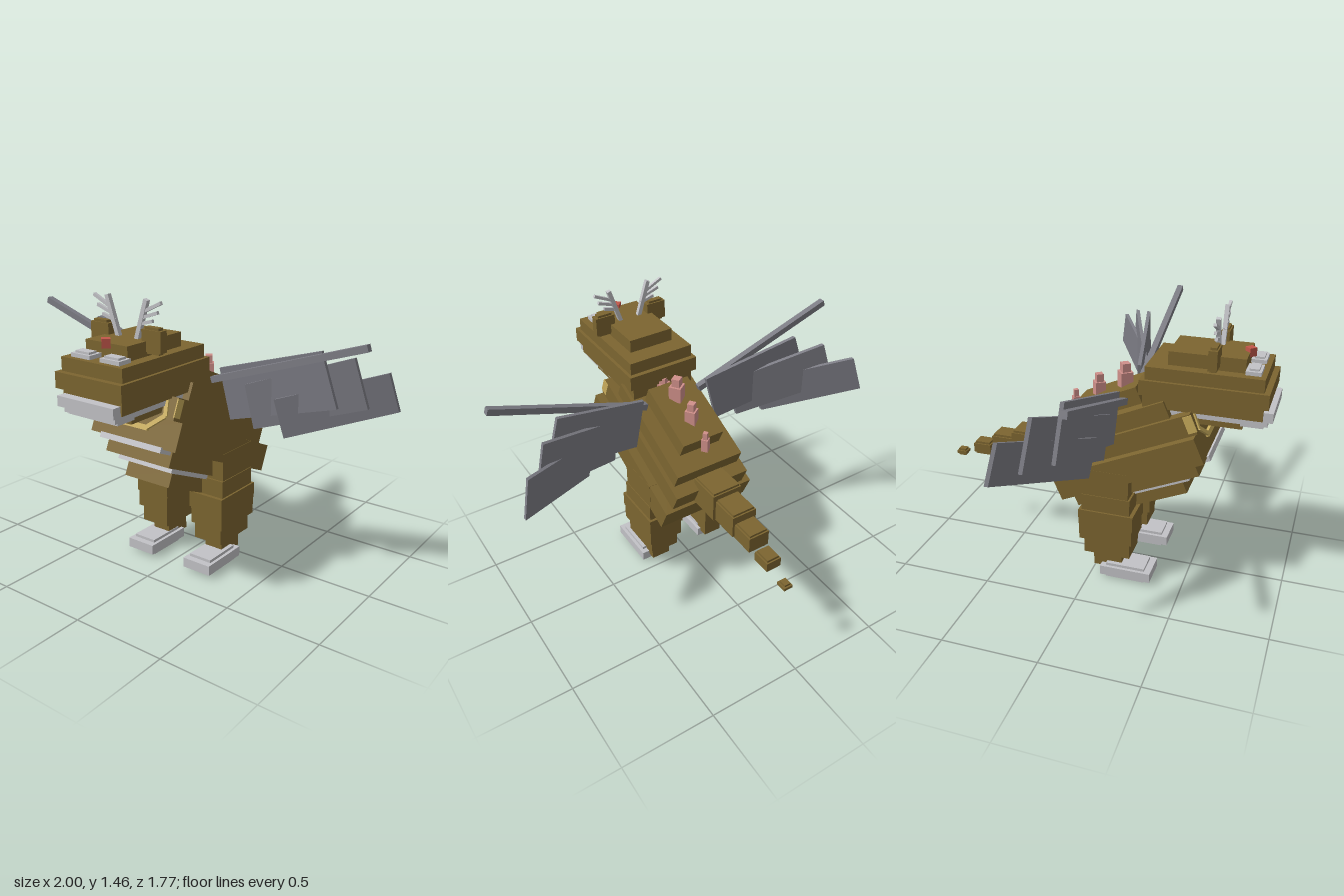
import * as THREE from 'three';

const mat = (name, color) => Object.assign(new THREE.MeshStandardMaterial({ color }), { name });

export function createModel() {
  const model = new THREE.Group();
  model.name = 'wingedCreature';
  const hide = mat('brown hide', 0x7c6530);
  const pale = mat('pale grey', 0xc2c2c6);
  const wingGrey = mat('wing grey', 0x7c7c84);
  const pink = mat('spike pink', 0xd0908a);
  const red = mat('nose red', 0xc2574a);
  const gold = mat('gold trim', 0xc9ad5c);

  const group = (name, parent = model) => {
    const g = new THREE.Group();
    g.name = name;
    parent.add(g);
    return g;
  };
  // Box given by its extents on each axis
  const box = (parent, name, m, [x0, x1], [y0, y1], [z0, z1]) => {
    const mesh = new THREE.Mesh(new THREE.BoxGeometry(x1 - x0, y1 - y0, z1 - z0), m);
    mesh.position.set((x0 + x1) / 2, (y0 + y1) / 2, (z0 + z1) / 2);
    mesh.name = name;
    parent.add(mesh);
    return mesh;
  };
  // Extents mirrored to side s
  const side = (s, a, b) => (s > 0 ? [a, b] : [-b, -a]);
  // Square bar between two points in a plane of constant z
  const bar = (parent, name, m, [xa, ya], [xb, yb], z, w, d = w) => {
    const mesh = new THREE.Mesh(new THREE.BoxGeometry(Math.hypot(xb - xa, yb - ya), w, d), m);
    mesh.position.set((xa + xb) / 2, (ya + yb) / 2, z);
    mesh.rotation.z = Math.atan2(yb - ya, xb - xa);
    mesh.name = name;
    parent.add(mesh);
  };

  // Body: stacked slabs, pitched so the chest is higher than the rump
  const body = group('body');
  body.rotation.x = -0.42;
  const slabs = [ // half width, bottom, top, back, front
    [0.14, 0.28, 0.36, 0.2, 0.66],
    [0.2, 0.38, 0.46, 0.08, 0.78],
    [0.265, 0.46, 0.6, 0.043, 0.85],
    [0.218, 0.6, 0.71, 0.06, 0.86],
    [0.195, 0.71, 0.8, 0.13, 0.75],
    [0.12, 0.8, 0.89, 0.24, 0.614],
  ];
  slabs.forEach(([w, b, t, k, f], i) => box(body, `bodySlab${i + 1}`, hide, [-w, w], [b, t], [k, f]));
  box(body, 'bellyPlate', pale, [-0.17, 0.17], [0.355, 0.382], [0.18, 0.71]);
  box(body, 'chestPlate', pale, [-0.19, 0.19], [0.44, 0.468], [0.4, 0.862]);

  // Gold collar on the chest
  const collar = group('collar', body);
  bar(collar, 'collarBar', gold, [-0.085, 0.54], [0.085, 0.54], 0.857, 0.026, 0.02);
  for (const s of [1, -1]) {
    bar(collar, 'collarDiagonal', gold, [s * 0.075, 0.54], [s * 0.17, 0.615], 0.862, 0.022, 0.012);
    bar(collar, 'collarStrap', gold, [s * 0.17, 0.61], [s * 0.155, 0.7], 0.862, 0.022, 0.012);
    box(collar, 'collarEnd', gold, side(s, 0.216, 0.222), [0.615, 0.705], [0.82, 0.866]);
  }

  // Back spikes: stacked pink blocks turned on edge
  const spikes = group('backSpikes');
  [[0.25, 0.97, 0.1, 0.06], [0.11, 1.01, 0.13, 0.065], [-0.03, 0.945, 0.12, 0.055], [-0.16, 0.85, 0.11, 0.035]]
    .forEach(([z, y, h, w]) => {
      const spike = group('spike', spikes);
      spike.position.set(0, y, z);
      spike.rotation.set(0, Math.PI / 5, 0);
      box(spike, 'spikeBase', pink, [-w / 2, w / 2], [0, h * 0.65], [-w / 2, w / 2]);
      box(spike, 'spikeTip', pink, [-w / 3, w / 3], [h * 0.6, h], [-w / 3, w / 3]);
    });

  // Tail: shrinking blocks, the last two floating free
  const tail = group('tail');
  [[0.085, 0.555, 0.73, -0.365, -0.19], [0.07, 0.55, 0.695, -0.515, -0.36], [0.058, 0.54, 0.65, -0.64, -0.515],
    [0.042, 0.505, 0.58, -0.765, -0.665], [0.025, 0.468, 0.508, -0.885, -0.828]]
    .forEach(([w, b, t, k, f], i) => {
      box(tail, `tailBlock${i + 1}`, hide, [-w + 0.008, w - 0.008], [b, t], [k + 0.008, f - 0.008]);
      box(tail, `tailCore${i + 1}`, hide, [-w, w], [b + 0.012, t - 0.012], [k, f]);
    });

  // Head: stacked layers
  const head = group('head');
  box(head, 'lowerJaw', hide, [-0.14, 0.14], [0.92, 0.965], [0.36, 0.74]);
  box(head, 'jawLining', pale, [-0.155, 0.155], [0.955, 0.992], [0.35, 0.86]);
  box(head, 'upperTeeth', pale, [-0.17, 0.17], [0.985, 1.035], [0.7, 0.885]);
  box(head, 'lowerTeeth', pale, [-0.15, 0.15], [0.942, 0.98], [0.73, 0.84]);
  box(head, 'muzzle', hide, [-0.178, 0.178], [0.99, 1.06], [0.25, 0.838]);
  box(head, 'cheeks', hide, [-0.2, 0.2], [1.06, 1.137], [0.235, 0.863]);
  box(head, 'brow', hide, [-0.183, 0.183], [1.137, 1.203], [0.26, 0.835]);
  box(head, 'crown', hide, [-0.125, 0.125], [1.203, 1.272], [0.36, 0.735]);
  const nose = box(head, 'nose', red, [-0.02, 0.02], [1.25, 1.293], [0.715, 0.755]);
  nose.rotation.y = Math.PI / 4;
  for (const s of [1, -1]) {
    box(head, 'eye', pale, side(s, 0.03, 0.145), [1.2, 1.222], [0.735, 0.81]);
    box(head, 'eyeRidge', pale, side(s, 0.045, 0.13), [1.2, 1.232], [0.75, 0.797]);
    box(head, 'ear', hide, side(s, 0.1, 0.21), [1.225, 1.325], [0.568, 0.612]);
    box(head, 'earCore', hide, side(s, 0.115, 0.195), [1.215, 1.337], [0.575, 0.605]);
    const antler = group('antler', head);
    [[0.053, 1.26, 0.117, 1.455, 0.022], [0.1, 1.4, 0.2, 1.448, 0.015],
      [0.085, 1.37, 0.18, 1.403, 0.015], [0.07, 1.34, 0.15, 1.362, 0.015]]
      .forEach(([xa, ya, xb, yb, w]) => bar(antler, 'antlerBranch', pale, [s * xa, ya], [s * xb, yb], 0.59, w));
  }

  // Legs and stepped feet
  for (const s of [1, -1]) {
    const leg = group(s > 0 ? 'leftLeg' : 'rightLeg');
    [[0.14, 0.266, 0.46, 0.64, -0.04, 0.21], [0.105, 0.27, 0.405, 0.495, -0.04, 0.22],
      [0.075, 0.28, 0.32, 0.405, -0.055, 0.24], [0.082, 0.277, 0.23, 0.32, -0.052, 0.235],
      [0.095, 0.26, 0.14, 0.23, -0.03, 0.22], [0.125, 0.23, 0.05, 0.14, 0.015, 0.17]]
      .forEach(([a, b, y0, y1, z0, z1], i) => box(leg, `legBlock${i + 1}`, hide, side(s, a, b), [y0, y1], [z0, z1]));
    box(leg, 'footBase', pale, side(s, 0.105, 0.27), [0.018, 0.07], [0.06, 0.335]);
    box(leg, 'footCore', pale, side(s, 0.122, 0.253), [0, 0.085], [0.09, 0.3]);
  }

  // Thin feather panel: a box remapped onto four corners, with z falling back along x
  const panel = (parent, s, [tl, tr, bl, br], z0, x0, slope) => {
    const g = new THREE.BoxGeometry(1, 1, 1);
    const p = g.attributes.position;
    for (let i = 0; i < p.count; i++) {
      const u = s * p.getX(i) + 0.5, v = p.getY(i) + 0.5;
      const at = k => (1 - v) * ((1 - u) * bl[k] + u * br[k]) + v * ((1 - u) * tl[k] + u * tr[k]);
      const x = at(0);
      p.setXYZ(i, s * x, at(1), z0 - (x - x0) * slope + p.getZ(i) * 0.02);
    }
    g.computeVertexNormals();
    const mesh = new THREE.Mesh(g, wingGrey);
    mesh.name = 'featherPanel';
    parent.add(mesh);
  };
  // Wings: a leading spar and three overlapping panels
  for (const s of [1, -1]) {
    const wing = group(s > 0 ? 'leftWing' : 'rightWing');
    bar(wing, 'wingSpar', wingGrey, [s * 0.16, 1.0], [s * 0.985, 1.277], 0.155, 0.033);
    panel(wing, s, [[0.5, 0.95], [0.95, 1.09], [0.545, 0.755], [1.0, 0.9]], 0.12, 0.5, 0.64);
    panel(wing, s, [[0.34, 1.0], [0.82, 1.165], [0.385, 0.775], [0.89, 0.92]], 0.13, 0.34, 0.4);
    panel(wing, s, [[0.19, 1.06], [0.7, 1.2], [0.25, 0.8], [0.785, 0.93]], 0.13, 0.19, 0.18);
  }
  return model;
}
